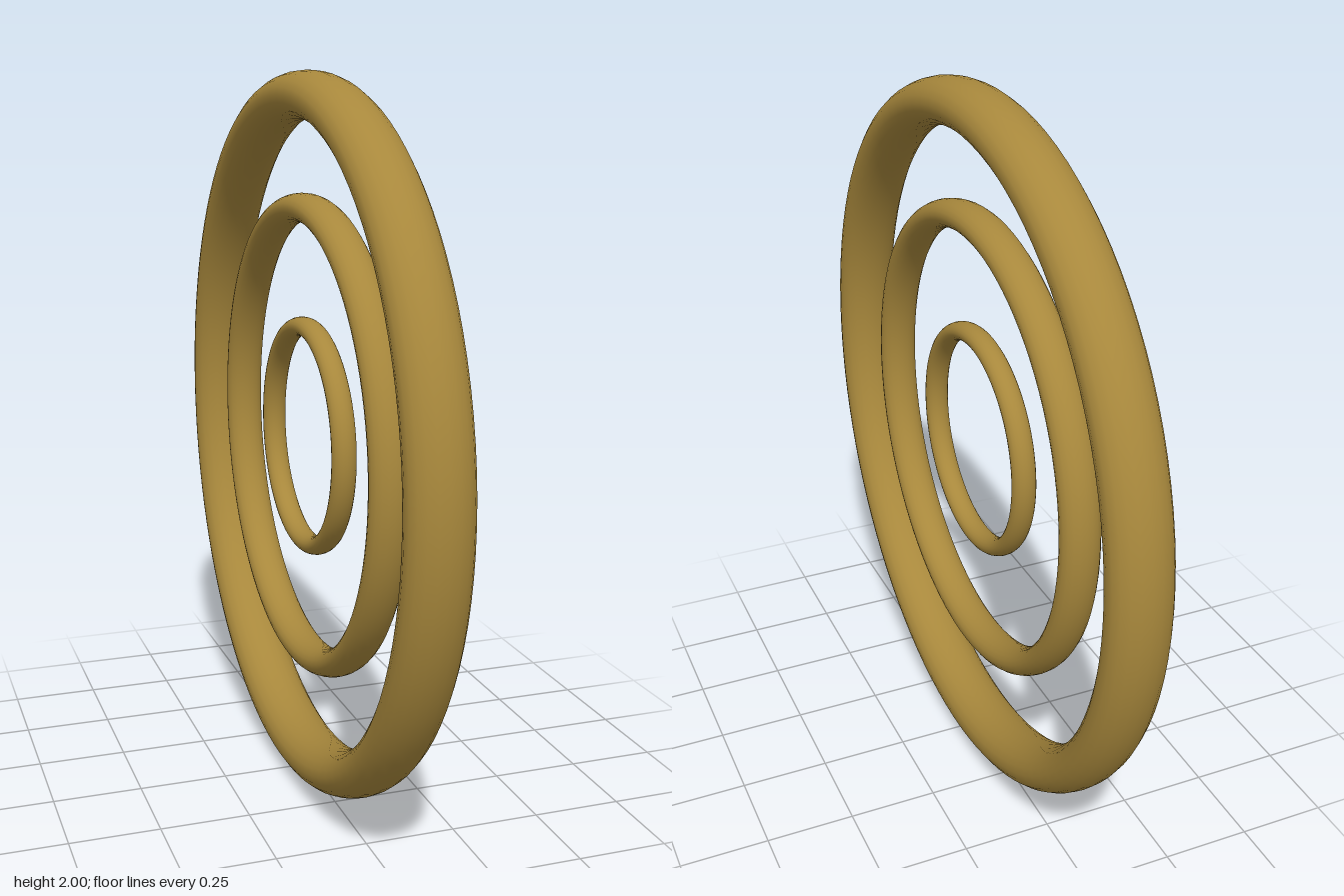
import * as THREE from 'three';

// Three upright concentric rings with oval cross-sections, axis along x.
export function createModel() {
  const group = new THREE.Group();
  group.name = 'concentricRings';

  const brass = new THREE.MeshStandardMaterial({ color: 0xa8883c });
  brass.name = 'brass';

  // outer radius, inner radius, half width along x
  const rings = [
    ['outerRing', 1.0, 0.87, 0.086],
    ['middleRing', 0.675, 0.595, 0.055],
    ['innerRing', 0.335, 0.282, 0.034],
  ];

  for (const [name, outer, inner, halfWidth] of rings) {
    const tube = (outer - inner) / 2;
    const geometry = new THREE.TorusGeometry((outer + inner) / 2, tube, 20, 96);
    geometry.scale(1, 1, halfWidth / tube); // widen the section along the axis
    geometry.rotateY(Math.PI / 2);
    const ring = new THREE.Mesh(geometry, brass);
    ring.name = name;
    ring.position.y = 1;
    group.add(ring);
  }

  return group;
}
